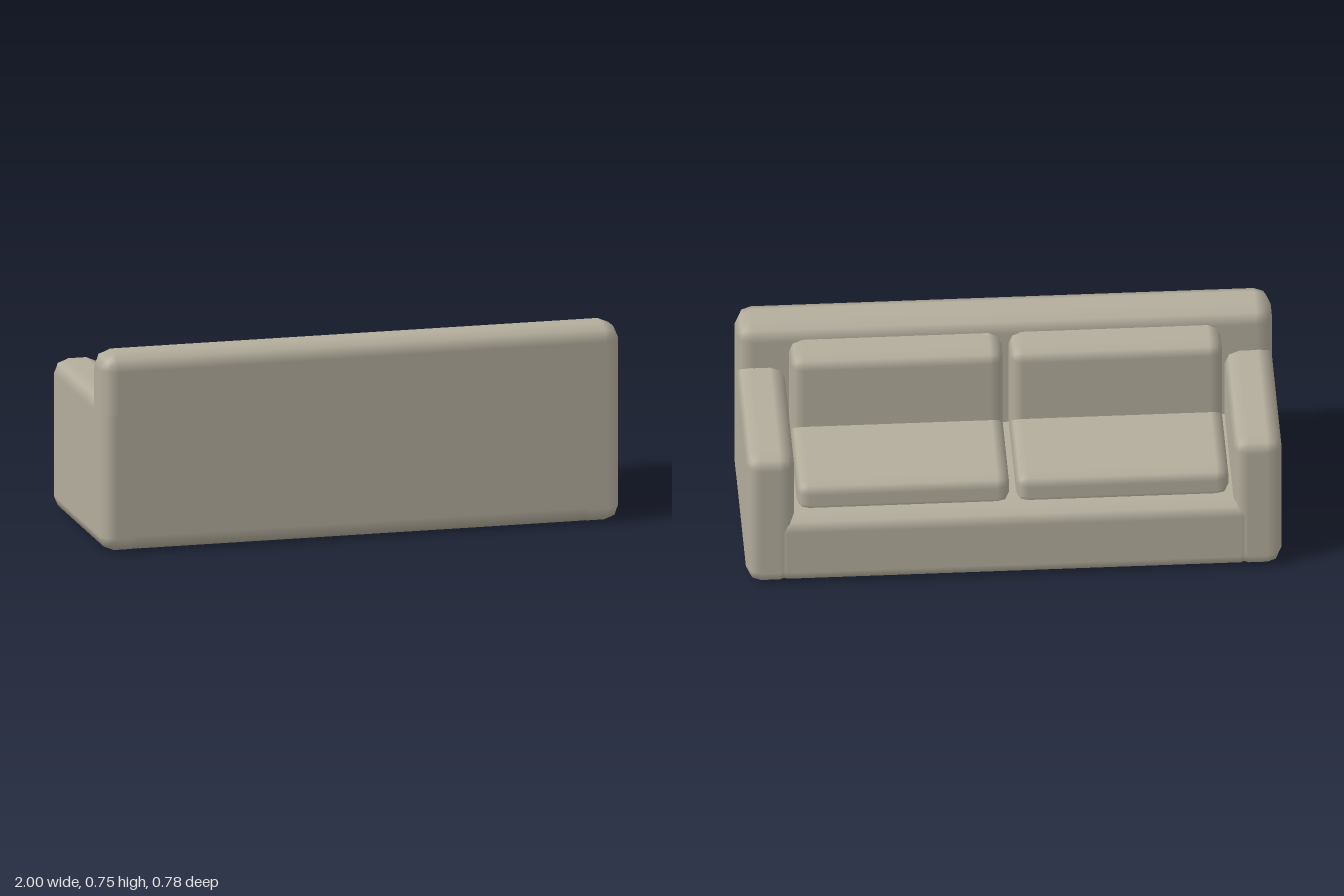
import * as THREE from 'three';
import { RoundedBoxGeometry } from 'three/addons/geometries/RoundedBoxGeometry.js';

export function createModel() {
  const sofa = new THREE.Group();
  sofa.name = 'sofa';
  const fabric = new THREE.MeshStandardMaterial({ color: 0xb3ad9c });
  fabric.name = 'warm grey fabric';

  // Soft-edged block given by its extents on each axis
  function block(name, [x0, x1], [y0, y1], [z0, z1], radius) {
    const geometry = new RoundedBoxGeometry(x1 - x0, y1 - y0, z1 - z0, 1, radius);
    const mesh = new THREE.Mesh(geometry, fabric);
    mesh.name = name;
    mesh.position.set((x0 + x1) / 2, (y0 + y1) / 2, (z0 + z1) / 2);
    sofa.add(mesh);
  }

  // Frame: the seat opens toward -z
  block('base', [-0.9, 0.9], [0, 0.29], [-0.387, 0.385], 0.055);
  block('backrest', [-1, 1], [0, 0.755], [0.196, 0.389], 0.062);

  // Mirrored arms and cushions
  for (const [side, s] of [['left', 1], ['right', -1]]) {
    const span = (a, b) => (s > 0 ? [a, b] : [-b, -a]);
    block(side + 'Arm', span(0.82, 0.999), [0, 0.578], [-0.389, 0.387], 0.055);
    block(side + 'SeatCushion', span(0.013, 0.805), [0.26, 0.395], [-0.311, 0.25], 0.045);
    block(side + 'BackCushion', span(0.013, 0.805), [0.3, 0.699], [0.065, 0.3], 0.048);
  }
  return sofa;
}
